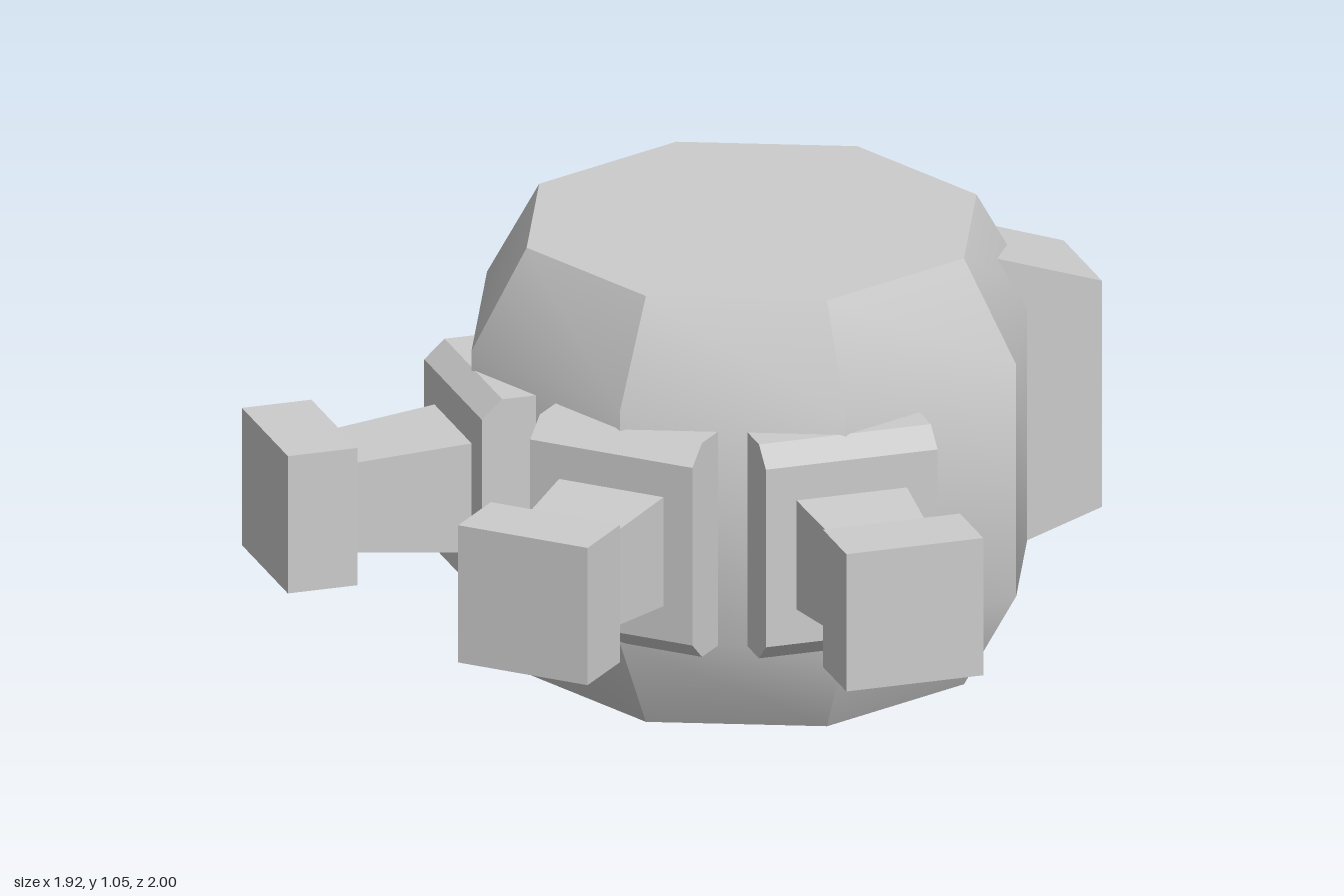
import * as THREE from 'three';
import { toCreasedNormals } from 'three/addons/utils/BufferGeometryUtils.js';

const material = new THREE.MeshStandardMaterial({ color: 0xcccccc });
const flatMaterial = new THREE.MeshStandardMaterial({ color: 0xcccccc, flatShading: true });

function addMesh(parent, name, geometry, mat = flatMaterial) {
  const mesh = new THREE.Mesh(geometry, mat);
  mesh.name = name;
  parent.add(mesh);
  return mesh;
}

// Side profile given as [z, y] points, extruded to a width centred on x = 0
function sideProfile(points, width) {
  const shape = new THREE.Shape(points.map(([z, y]) => new THREE.Vector2(z, y)));
  const geometry = new THREE.ExtrudeGeometry(shape, { depth: width, bevelEnabled: false });
  return geometry.translate(0, 0, -width / 2).rotateY(-Math.PI / 2);
}

// Chamfered plate, tapered square barrel and block-shaped muzzle
function createTurret(name) {
  const turret = new THREE.Group();
  turret.name = name;
  addMesh(turret, 'mountPlate', sideProfile(
    [[0.48, 0.24], [0.68, 0.24], [0.73, 0.285], [0.73, 0.725], [0.68, 0.77], [0.48, 0.77]], 0.42));

  const barrel = new THREE.CylinderGeometry(0.11 * Math.SQRT2, 0.135 * Math.SQRT2, 0.29, 4);
  barrel.rotateY(Math.PI / 4).rotateX(Math.PI / 2);
  addMesh(turret, 'barrel', barrel).position.set(0, 0.505, 0.875);

  addMesh(turret, 'muzzle', new THREE.BoxGeometry(0.335, 0.34, 0.17)).position.set(0, 0.505, 1.105);
  return turret;
}

// Upright rear block whose ends slope outward towards the body
function createRearBlock(name) {
  const block = new THREE.Group();
  block.name = name;
  addMesh(block, 'rearBlock', sideProfile(
    [[0.48, 0.19], [0.81, 0.3], [0.81, 0.86], [0.48, 0.97]], 0.28));
  return block;
}

export function createModel() {
  const model = new THREE.Group();
  model.name = 'turretedPod';
  // Everything is arranged radially around the body axis
  const hub = new THREE.Group();
  hub.name = 'hub';
  hub.position.z = -0.19;
  model.add(hub);

  // Eight-sided barrel-shaped body
  const profile = [[0, 0], [0.55, 0], [0.685, 0.24], [0.685, 0.815], [0.55, 1.055], [0, 1.055]]
    .map(([r, y]) => new THREE.Vector2(r, y));
  const body = toCreasedNormals(new THREE.LatheGeometry(profile, 8), THREE.MathUtils.degToRad(35));
  addMesh(hub, 'body', body, material);

  // Three turrets at the front, three blocks at the back
  ['right', 'centre', 'left'].forEach((side, i) => {
    const angle = (i - 1) * Math.PI / 4;
    const turret = createTurret(side + 'Turret');
    turret.rotation.y = angle;
    const block = createRearBlock(side + 'RearBlock');
    block.rotation.y = Math.PI - angle;
    hub.add(turret, block);
  });

  return model;
}
